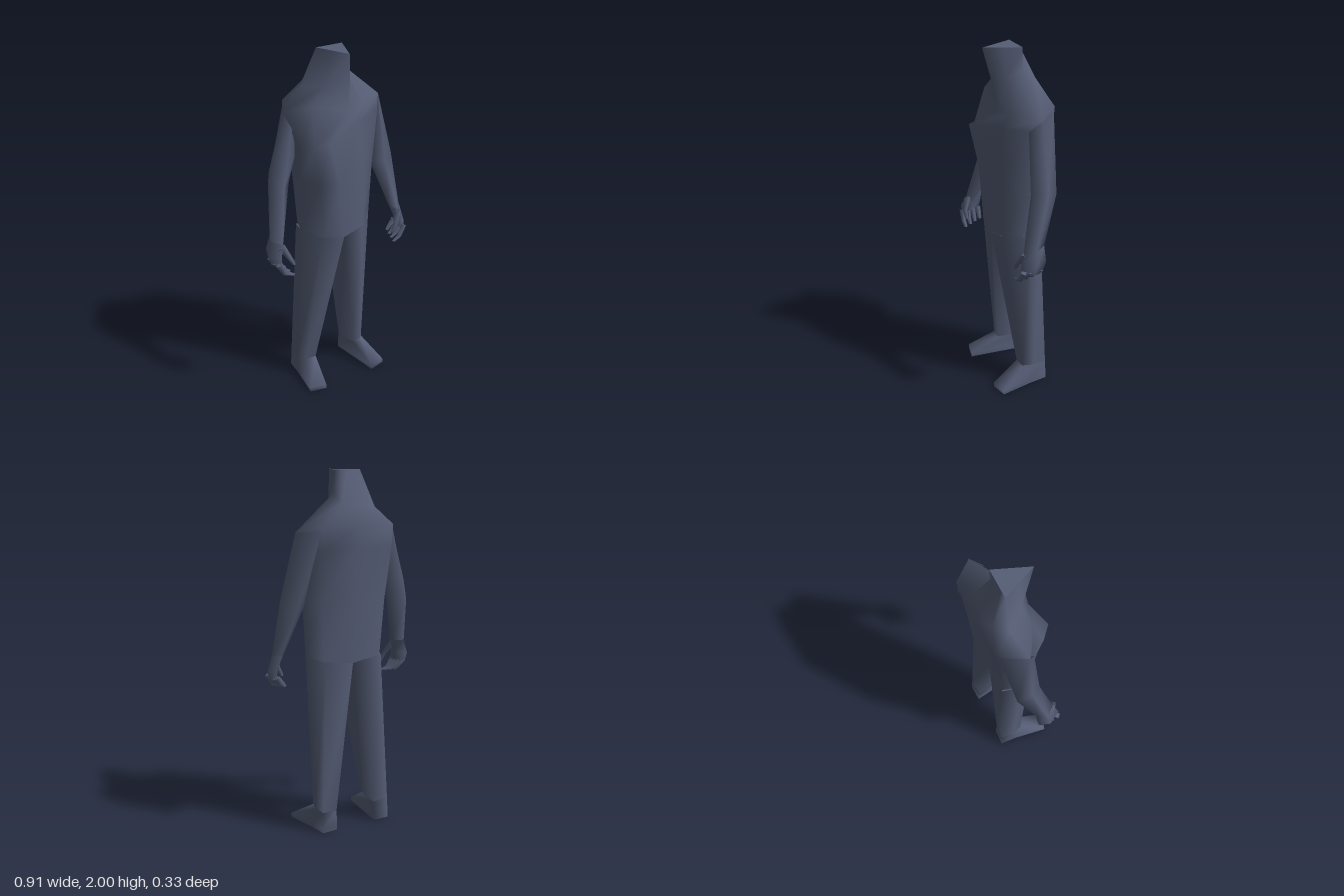
import * as THREE from 'three';

const suit = new THREE.MeshStandardMaterial({ color: 0x565e76, side: THREE.DoubleSide });
suit.name = 'slate suit';

// Smooth skin through rings of [x, y, z], listed bottom to top, each running front, left, back, right
function loft(name, rings, mirrored = false) {
  if (mirrored) rings = rings.map(r => r.map(([x, y, z]) => [-x, y, z]).reverse());
  const n = rings[0].length, pos = rings.flat(2), idx = [];
  for (let k = 0; k < rings.length - 1; k++) {
    for (let i = 0; i < n; i++) {
      const j = (i + 1) % n, a = k * n + i, b = k * n + j;
      idx.push(a, b, b + n, a, b + n, a + n);
    }
  }
  // flat caps on separate vertices
  [[rings[0], true], [rings[rings.length - 1], false]].forEach(([r, down]) => {
    const base = pos.length / 3;
    const mid = [0, 1, 2].map(c => r.reduce((s, p) => s + p[c], 0) / n);
    pos.push(...r.flat(), ...mid);
    for (let i = 0; i < n; i++) {
      const j = (i + 1) % n;
      idx.push(base + n, base + (down ? j : i), base + (down ? i : j));
    }
  });
  const g = new THREE.BufferGeometry();
  g.setAttribute('position', new THREE.Float32BufferAttribute(pos, 3));
  g.setIndex(idx);
  g.computeVertexNormals();
  const m = new THREE.Mesh(g, suit);
  m.name = name;
  return m;
}

// Small four-sided ring for fingers and thumbs
const knuckle = ([x, y, z], w, d) =>
  [[x, y, z + d], [x + w, y - w * 0.5, z], [x, y, z - d], [x - w, y + w * 0.5, z]];

function torso() {
  return loft('torso', [
    // hem
    [[0, .94, .10], [.13, .97, .085], [.25, 1, -.02], [.19, .98, -.12],
      [0, .95, -.115], [-.17, .98, -.12], [-.21, 1, -.02], [-.13, .97, .09]],
    // waist
    [[-.05, 1.28, .135], [.14, 1.3, .085], [.26, 1.3, -.01], [.21, 1.3, -.135],
      [0, 1.3, -.14], [-.19, 1.3, -.135], [-.21, 1.3, -.01], [-.16, 1.3, .1]],
    // chest
    [[-.13, 1.55, .167], [.1, 1.59, .08], [.275, 1.62, .01], [.22, 1.58, -.155],
      [0, 1.6, -.158], [-.22, 1.58, -.155], [-.23, 1.5, .02], [-.19, 1.53, .11]],
    // shoulders
    [[.04, 1.67, .075], [.15, 1.68, .05], [.32, 1.68, -.05], [.22, 1.71, -.168],
      [0, 1.71, -.168], [-.22, 1.71, -.168], [-.30, 1.70, -.03], [-.17, 1.73, .055]],
    // neck base
    [[.03, 1.82, .10], [.065, 1.85, .03], [.085, 1.88, -.05], [.08, 1.83, -.125],
      [0, 1.81, -.138], [-.11, 1.81, -.138], [-.165, 1.8, -.07], [-.08, 1.82, .04]],
    // neck top
    [[0, 2, .14], [.04, 2, .045], [.08, 2, -.05], [.04, 2, -.05],
      [0, 2, -.05], [-.04, 2, -.05], [-.08, 2, -.05], [-.04, 2, .045]],
  ]);
}

function leg(side, hip, mirrored) {
  const g = new THREE.Group();
  g.name = side + 'Leg';
  const ankle = [[.135, .12, 0], [.2, .12, -.005], [.22, .12, -.07], [.215, .12, -.148], [.125, .11, -.14]];
  const sole = y => [[.165, y, .165], [.262, y, .143], [.228, y, -.05], [.218, y, -.152], [.125, y, -.148]];
  g.add(
    loft(side + 'Trouser', [
      ankle,
      [[0, .94, .10], [.13, .97, .088], [hip, 1, -.02], [.18, .98, -.12], [0, .95, -.113]],
    ], mirrored),
    loft(side + 'Foot', [sole(0), sole(.025), ankle], mirrored),
  );
  return g;
}

function arm(side, outerElbow, innerElbow, shoulder, mirrored) {
  const g = new THREE.Group();
  g.name = side + 'Arm';
  const wrist = [[.385, 1, .085], [.43, 1.01, .03], [.405, 1.02, -.025], [.36, 1.01, .03]];
  g.add(
    loft(side + 'Sleeve', [
      wrist,
      [[.33, 1.29, .02], outerElbow, [.35, 1.28, -.12], innerElbow],
      shoulder,
    ], mirrored),
    loft(side + 'Palm', [
      [[.405, .875, .11], [.438, .875, .045], [.425, .885, -.01], [.395, .89, .045]],
      [[.41, .93, .112], [.453, .925, .04], [.43, .94, -.025], [.385, .94, .045]],
      wrist,
    ], mirrored),
    loft(side + 'Thumb', [
      knuckle([.33, .875, .105], .008, .012),
      knuckle([.355, .92, .105], .013, .018),
      knuckle([.39, .985, .075], .02, .025),
    ], mirrored),
  );
  // four curled fingers
  for (let i = 0; i < 4; i++) {
    const z = .1 - i * .033, lift = i * .008;
    g.add(loft(side + 'Finger' + (i + 1), [
      knuckle([.34 + lift, .815 + lift, z + .01], .01, .011),
      knuckle([.385, .835 + lift, z + .005], .015, .015),
      knuckle([.42, .895, z], .018, .018),
    ], mirrored));
  }
  return g;
}

export function createModel() {
  const model = new THREE.Group();
  model.name = 'standingFigure';
  model.add(
    torso(),
    leg('left', .25, false),
    leg('right', .21, true),
    arm('left', [.412, 1.32, -.04], [.275, 1.28, -.05],
      [[.28, 1.62, .01], [.32, 1.68, -.05], [.225, 1.69, -.16], [.24, 1.45, -.07]], false),
    arm('right', [.38, 1.38, -.05], [.262, 1.28, -.05],
      [[.27, 1.62, .01], [.30, 1.70, -.03], [.22, 1.70, -.16], [.2, 1.45, -.07]], true),
  );
  return model;
}
